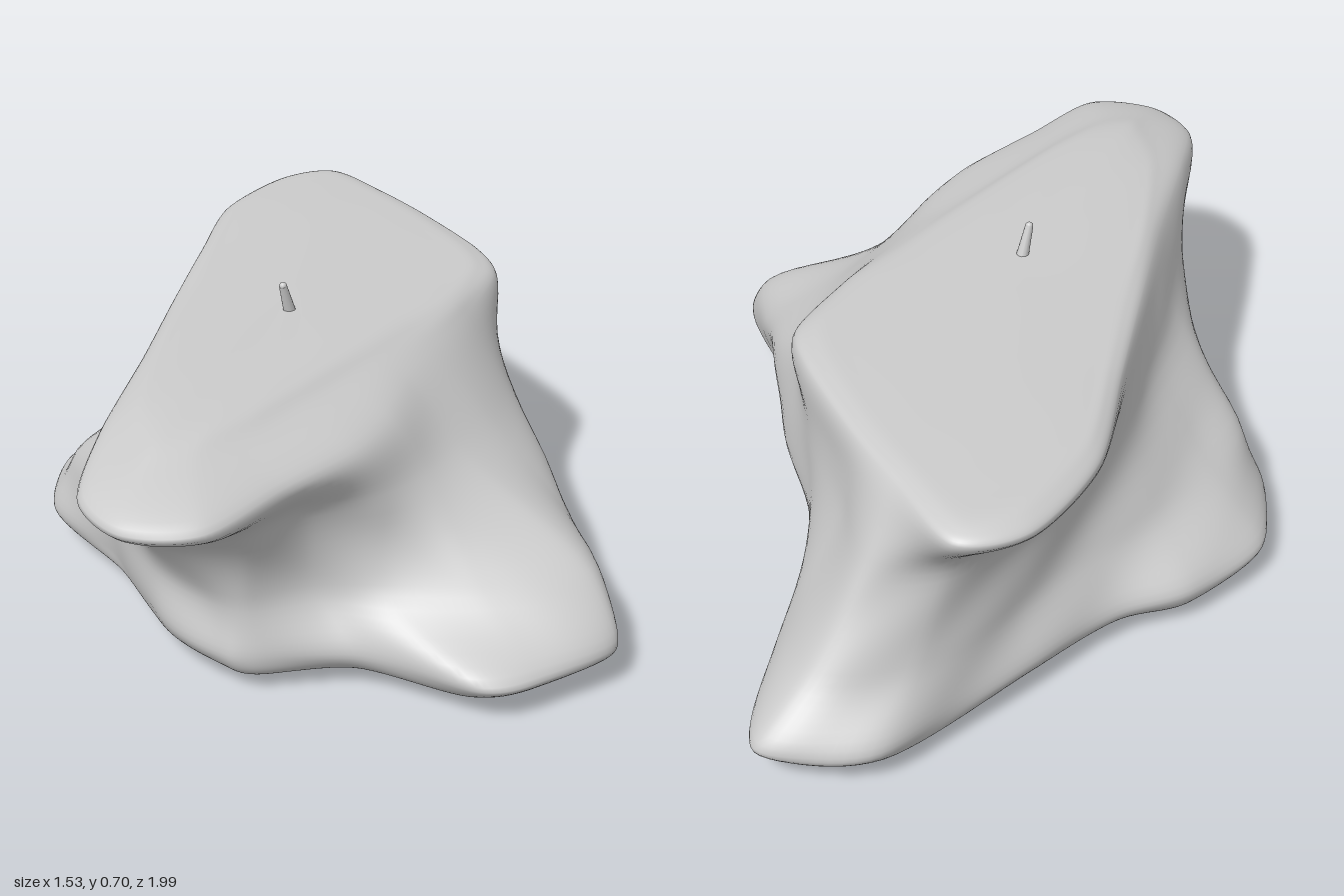
import * as THREE from 'three';

const AROUND = 220, UP = 81;

// Outlines as x, z pairs; all run from the back foot past +x to the front and round again
const BASE = [-0.35, -1, -0.19, -0.78, -0.06, -0.5, 0.19, -0.25, 0.4, -0.05, 0.61, 0.04, 0.765, 0.14,
  0.71, 0.33, 0.62, 0.45, 0.35, 0.5, 0.18, 0.64, 0.1, 0.66, -0.08, 0.63, -0.35, 0.48, -0.62, 0.39,
  -0.755, 0.2, -0.74, -0.03, -0.66, -0.19, -0.61, -0.45, -0.55, -0.84];
const LOW = [-0.38, -0.87, -0.2, -0.71, -0.04, -0.5, 0.2, -0.33, 0.45, -0.11, 0.58, -0.01, 0.69, 0.12,
  0.54, 0.31, 0.37, 0.42, 0.25, 0.51, 0.16, 0.63, 0.06, 0.65, -0.1, 0.63, -0.32, 0.51, -0.57, 0.37,
  -0.62, 0.2, -0.61, 0, -0.58, -0.2, -0.57, -0.42, -0.54, -0.73];
const WAIST = [-0.42, -0.75, -0.25, -0.62, -0.03, -0.48, 0.11, -0.37, 0.24, -0.22, 0.33, -0.03, 0.37, 0.13,
  0.37, 0.27, 0.34, 0.4, 0.26, 0.55, 0.21, 0.71, 0.08, 0.8, -0.07, 0.77, -0.22, 0.61, -0.36, 0.41,
  -0.45, 0.2, -0.52, 0, -0.57, -0.21, -0.585, -0.42, -0.55, -0.64];
const RIM = [-0.43, -0.66, -0.25, -0.59, -0.02, -0.48, 0.09, -0.39, 0.15, -0.19, 0.19, -0.01, 0.23, 0.14,
  0.29, 0.3, 0.315, 0.45, 0.3, 0.67, 0.29, 0.9, 0.15, 0.99, 0, 0.94, -0.12, 0.74, -0.27, 0.44,
  -0.42, 0.16, -0.55, -0.08, -0.69, -0.34, -0.72, -0.59, -0.63, -0.72];
const PLATEAU = [-0.43, -0.63, -0.25, -0.56, -0.04, -0.45, 0.06, -0.36, 0.12, -0.18, 0.14, 0, 0.155, 0.15,
  0.165, 0.31, 0.17, 0.45, 0.17, 0.62, 0.15, 0.76, 0.09, 0.82, 0.03, 0.79, -0.1, 0.66, -0.26, 0.4,
  -0.4, 0.14, -0.53, -0.09, -0.66, -0.33, -0.69, -0.57, -0.62, -0.69];
// Rim and plateau edge heights: the +x shoulder and the front lip droop
const RIM_Y = [0.6, 0.6, 0.6, 0.59, 0.575, 0.565, 0.555, 0.545, 0.54, 0.54, 0.535, 0.53, 0.54, 0.575, 0.59, 0.6, 0.6, 0.59, 0.585, 0.59];
const PLATEAU_Y = [0.616, 0.616, 0.618, 0.616, 0.608, 0.603, 0.6, 0.598, 0.598, 0.598, 0.6, 0.602, 0.604, 0.612, 0.617, 0.618, 0.618, 0.614, 0.612, 0.612];

const outline = (xz, y) => Array.from({ length: xz.length / 2 }, (_, i) =>
  new THREE.Vector3(xz[2 * i], Array.isArray(y) ? y[i] : y, xz[2 * i + 1]));

// Shrinks an outline towards a centre, by an amount found for each point, and sets its height
const inset = (ring, amount, centre, y) => ring.map((p, i) => {
  const q = p.clone().lerp(centre, amount(i));
  q.y = y;
  return q;
});

function rockGeometry() {
  const base = outline(BASE, 0.085), plateau = outline(PLATEAU, PLATEAU_Y);
  const floorCentre = new THREE.Vector3(-0.1, 0.025, 0);
  const topCentre = new THREE.Vector3(-0.2, 0.627, 0);
  // The underside is cut back further below the back and the +x foot
  const undercut = i => (i < 9 ? 0.15 : 0.1) + 0.025 * Math.sin(i * 2.3);
  const rings = [
    inset(base, () => 1, floorCentre, 0.025),
    inset(base, () => 0.5, floorCentre, 0.025),
    inset(base, undercut, floorCentre, 0.026),
    inset(base, i => undercut(i) * 0.4, floorCentre, 0.04),
    base,
    outline(LOW, 0.22),
    outline(WAIST, 0.42),
    outline(RIM, RIM_Y),
    plateau,
    inset(plateau, () => 0.15, topCentre, 0.623),
    inset(plateau, () => 1, topCentre, 0.627),
  ];
  const last = rings.length - 1;
  const loops = rings.slice(1, last).map(r => new THREE.CatmullRomCurve3(r, true, 'catmullrom', 0.42));

  const pos = [], index = [];
  for (let i = 0; i < AROUND; i++) {
    // One profile from the middle of the floor, up the flank, to the middle of the plateau
    const profile = new THREE.CatmullRomCurve3(
      [rings[0][0], ...loops.map(c => c.getPoint(i / AROUND)), rings[last][0]], false, 'centripetal');
    for (let j = 0; j <= UP; j++) {
      const p = profile.getPoint(j / UP);
      // Gentle weathering on the flanks, and a swelling under the back foot
      const side = THREE.MathUtils.smoothstep(p.y, 0.03, 0.09) * (1 - THREE.MathUtils.smoothstep(p.y, 0.45, 0.58));
      const n = Math.sin(p.x * 15 + p.y * 14) * Math.sin(p.z * 14 - p.y * 17);
      const s = 1 + 0.009 * n * side;
      const d2 = (p.x + 0.35) ** 2 + (p.z + 0.59) ** 2;
      const dip = 0.027 * Math.exp(-((d2 / 0.018) ** 2)) * (1 - THREE.MathUtils.smoothstep(p.y, 0.03, 0.09));
      pos.push(p.x * s, p.y - dip, p.z * s);
    }
  }
  const at = (i, j) => (i % AROUND) * (UP + 1) + j;
  for (let i = 0; i < AROUND; i++) {
    for (let j = 0; j < UP; j++) {
      const a = at(i, j), b = at(i + 1, j), c = at(i + 1, j + 1), d = at(i, j + 1);
      if (j > 0) index.push(a, d, b);
      if (j < UP - 1) index.push(b, d, c);
    }
  }
  const g = new THREE.BufferGeometry();
  g.setAttribute('position', new THREE.Float32BufferAttribute(pos, 3));
  g.setIndex(index);
  g.computeVertexNormals();
  return g;
}

export function createModel() {
  const model = new THREE.Group();
  model.name = 'rockPlateau';
  const material = new THREE.MeshStandardMaterial({ color: 0xcccccc });
  const add = (name, geometry, x, y, z) => {
    const mesh = new THREE.Mesh(geometry, material);
    mesh.name = name;
    mesh.position.set(x, y, z);
    model.add(mesh);
    return mesh;
  };

  // Main rock: spreading feet, narrow waist, flat overhanging top
  add('rock', rockGeometry(), 0, 0, 0);

  // Small leaning spike on the plateau, tapering to a rounded tip
  const spike = add('spike', new THREE.CylinderGeometry(0.009, 0.015, 0.085, 12), -0.122, 0.65, 0.128);
  spike.rotation.x = 0.32;
  add('spikeTip', new THREE.SphereGeometry(0.009, 12, 8), -0.122, 0.69, 0.141);

  return model;
}
